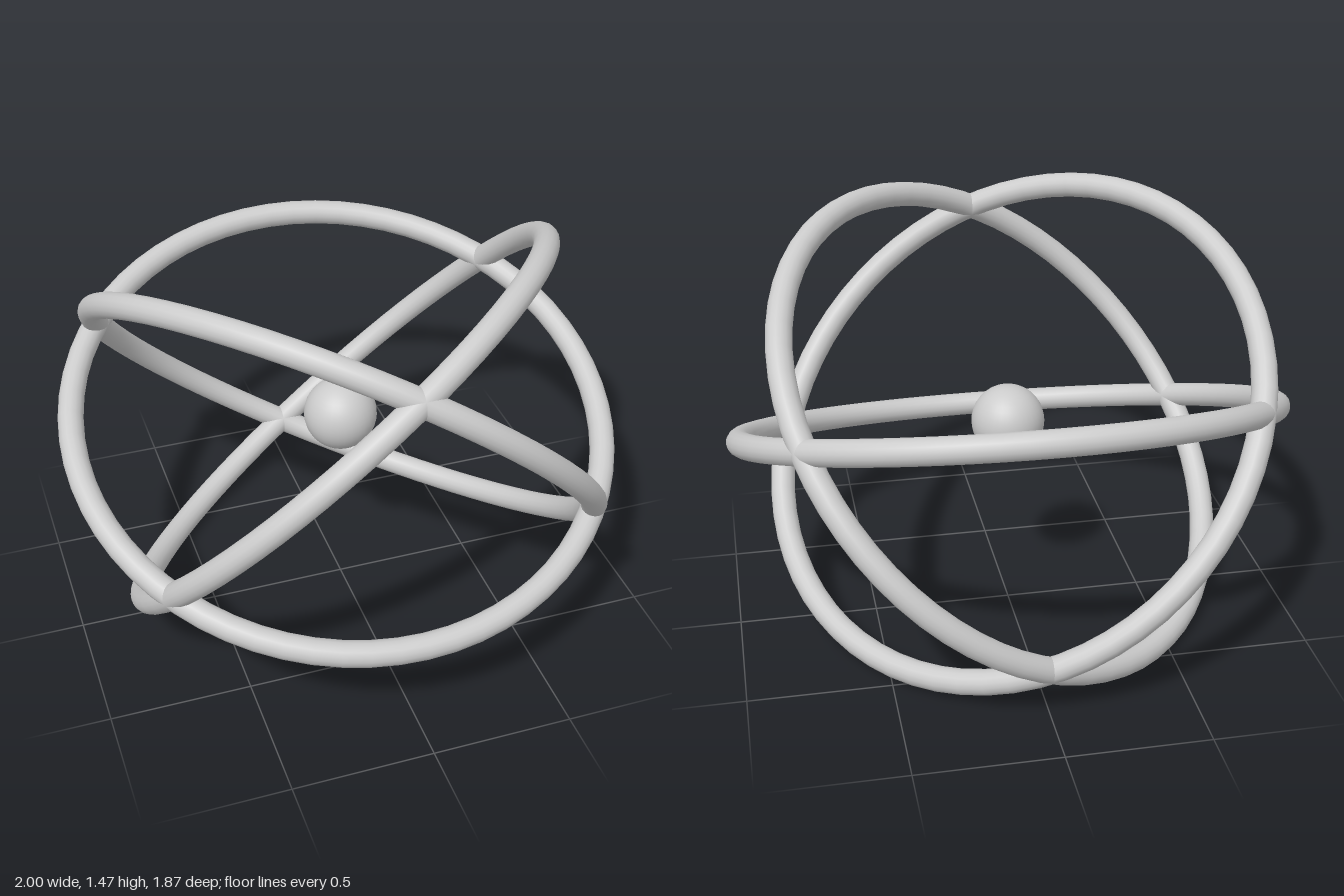
import * as THREE from 'three';

export function createModel() {
  const model = new THREE.Group();
  model.name = 'atom';
  const material = new THREE.MeshStandardMaterial({ color: 0xcccccc });
  const centerY = 0.738;

  // central ball
  const nucleus = new THREE.Mesh(new THREE.SphereGeometry(0.131, 32, 20), material);
  nucleus.name = 'nucleus';
  nucleus.position.y = centerY;
  model.add(nucleus);

  // three equal rings, each tilted so its axis follows a given normal
  const ringGeometry = new THREE.TorusGeometry(0.955, 0.045, 16, 64);
  const zAxis = new THREE.Vector3(0, 0, 1);
  const addRing = (name, x, y, z) => {
    const ring = new THREE.Mesh(ringGeometry, material);
    ring.name = name;
    ring.position.y = centerY;
    ring.quaternion.setFromUnitVectors(zAxis, new THREE.Vector3(x, y, z).normalize());
    model.add(ring);
  };
  addRing('flatOrbit', 0, 0.932, 0.362);
  addRing('leftOrbit', 0.538, 0.689, -0.486);
  addRing('rightOrbit', -0.538, 0.689, -0.486);

  return model;
}
